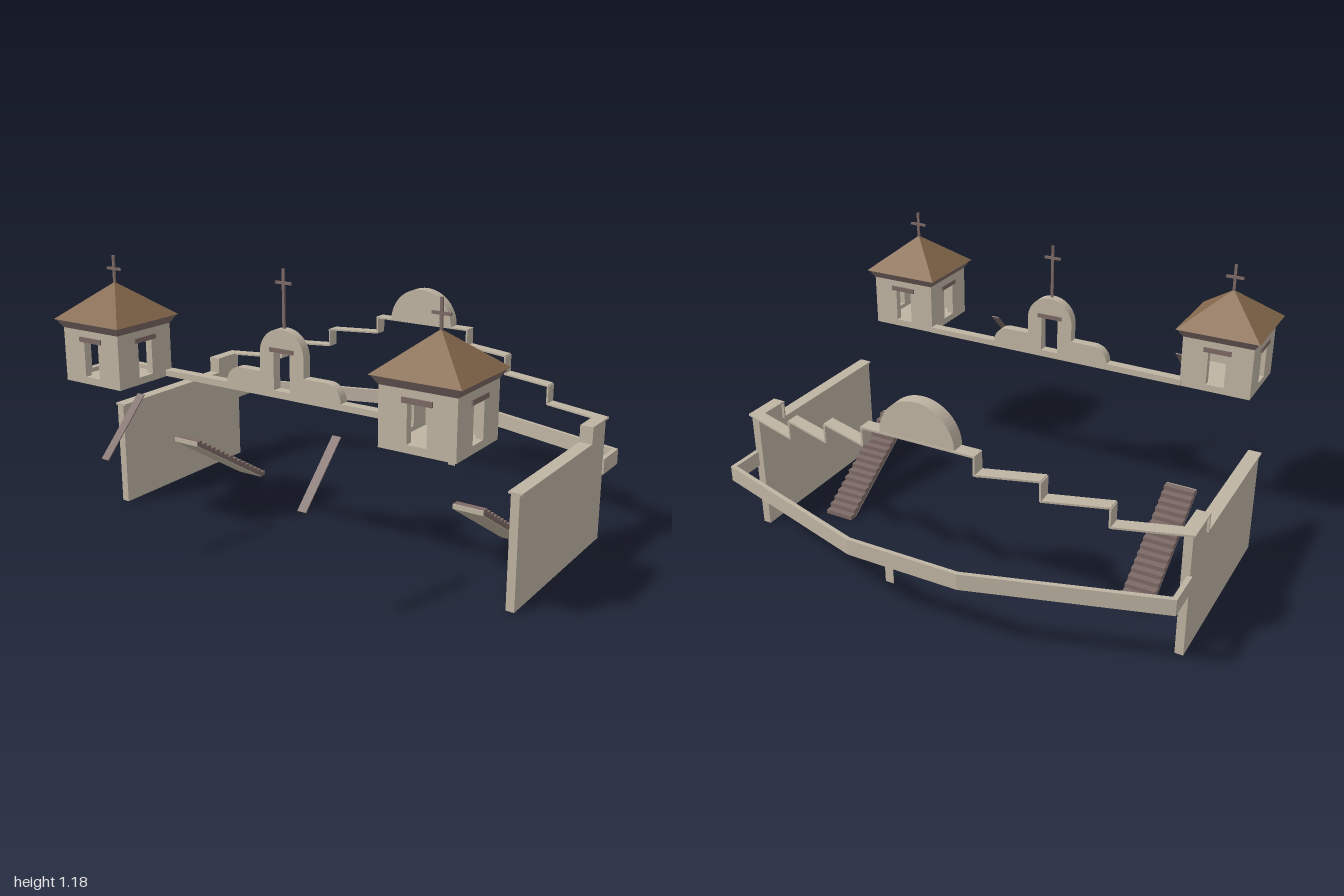
import * as THREE from 'three';

const mat = (name, color) => {
  const m = new THREE.MeshStandardMaterial({ color, side: THREE.DoubleSide });
  m.name = name;
  return m;
};

export function createModel() {
  const adobe = mat('adobe', 0xbfb4a3);
  const wood = mat('wood', 0x7d6a66);
  const tile = mat('roof tile', 0x86694c);
  const root = new THREE.Group();

  const add = (name, geo, material, parent = root) => {
    const mesh = new THREE.Mesh(geo, material);
    mesh.name = name;
    parent.add(mesh);
    return mesh;
  };
  const box = (name, w, h, d, x, y, z, material, parent) =>
    add(name, new THREE.BoxGeometry(w, h, d).translate(x, y, z), material, parent);
  const polygon = (pts) => new THREE.Shape(pts.map(([a, b]) => new THREE.Vector2(a, b)));
  const extrude = (shape, depth) =>
    new THREE.ExtrudeGeometry(shape, { depth, bevelEnabled: false, curveSegments: 16 });
  // outline in (x, z), raised from y0 to y1
  const plan = (pts, y0, y1) =>
    extrude(polygon(pts.map(([x, z]) => [x, -z])), y1 - y0).rotateX(-Math.PI / 2).translate(0, y0, 0);
  // outline in (z, y), spanning x0 to x1
  const profile = (pts, x0, x1) =>
    extrude(polygon(pts), x1 - x0).rotateY(-Math.PI / 2).translate(x1, 0, 0);
  const hole = (x0, x1, y0, y1) => {
    const p = new THREE.Path();
    p.moveTo(x0, y0).lineTo(x0, y1).lineTo(x1, y1).lineTo(x1, y0).closePath();
    return p;
  };
  const cross = (x, y0, z, parent) => {
    box('crossPost', 0.011, 1.185 - y0, 0.008, x, (1.185 + y0) / 2, z, wood, parent);
    box('crossArm', 0.075, 0.011, 0.008, x, 1.13, z, wood, parent);
  };

  // Stepped parapet coping along the bent back edge
  const zBack = (x) => -0.738 + Math.max(0, (Math.abs(x) - 0.24) / 0.76) * 0.235;
  const depth = 0.057, thin = 0.008;
  const coping = (x0, x1, y) => add('backCoping', plan([
    [x0, zBack(x0)], [x1, zBack(x1)], [x1, zBack(x1) + depth], [x0, zBack(x0) + depth],
  ], y - thin, y), adobe);
  coping(-0.24, 0.24, 0.775);

  for (const s of [-1, 1]) {
    [[1, 0.71, 0.54], [0.71, 0.47, 0.62], [0.47, 0.24, 0.7]].forEach(([a, b, y]) => {
      coping(s * a, s * b, y);
      box('copingRiser', thin, 0.08, depth, s * b, y + 0.035, zBack(b) + depth / 2, adobe);
    });

    // Side wall with a raised rear corner and coping
    const wall = profile([[0.32, 0], [0.32, 0.46], [-0.34, 0.46], [-0.34, 0.535], [-0.495, 0.535], [-0.495, 0]], 0.955, 0.99);
    if (s < 0) wall.translate(-1.945, 0, 0);
    add('sideWall', wall, adobe);
    const x = s * 0.972;
    box('sideCoping', 0.056, thin, 0.66, x, 0.464, -0.01, adobe);
    box('sideCopingRiser', 0.056, 0.08, thin, x, 0.5, -0.338, adobe);
    box('cornerCoping', 0.056, thin, 0.165, x, 0.536, -0.418, adobe);

    // Stairs climbing toward the front
    const steps = 16, run = 0.485 / steps, rise = 0.305 / steps;
    const pts = [[-0.31, 0]];
    for (let i = 0; i < steps; i++) {
      pts.push([-0.31 + i * run, (i + 1) * rise], [-0.31 + (i + 1) * run, (i + 1) * rise]);
    }
    pts.push([0.175, 0.286], [-0.28, 0]);
    const sx = s * 0.715;
    add('stairs', profile(pts, sx - 0.066, sx + 0.066), wood);
    add('stairUnderside', profile([[0.175, 0.305], [0.18, 0.305], [0.18, 0.285], [-0.272, 0], [-0.28, 0], [0.175, 0.286]],
      sx - 0.066, sx + 0.066), adobe);

    // Sloping plank in front
    const px = s < 0 ? -0.501 : 0.438;
    add('plank', profile([[0.661, 0.673], [0.664, 0.676], [0.878, 0.463], [0.875, 0.46]], px - 0.018, px + 0.018), wood);

    // Bell tower
    const tower = new THREE.Group();
    tower.name = 'bellTower';
    tower.position.set(s * 0.763, 0, 0.516);
    root.add(tower);
    const h = 0.152;
    for (let i = 0; i < 4; i++) {
      const side = new THREE.Group();
      side.name = 'towerSide';
      side.rotation.y = i * Math.PI / 2;
      tower.add(side);
      const panel = polygon([[-h, 0.672], [h, 0.672], [h, 0.9], [-h, 0.9]]);
      panel.holes.push(hole(-0.039, 0.039, 0.7, 0.85));
      add('towerWall', extrude(panel, 0.03).translate(0, 0, h - 0.03), adobe, side);
      box('windowLintel', 0.118, 0.02, 0.02, 0, 0.857, h - 0.003, wood, side);
    }
    box('towerFloor', 2 * h, 0.012, 2 * h, 0, 0.676, 0, adobe, tower);
    const square = (r0, r1, y0, y1) =>
      new THREE.CylinderGeometry(r1 * Math.SQRT2, r0 * Math.SQRT2, y1 - y0, 4, 1)
        .toNonIndexed().rotateY(Math.PI / 4).translate(0, (y0 + y1) / 2, 0);
    const flat = (g) => { g.computeVertexNormals(); return g; };
    add('eaves', flat(square(0.153, 0.174, 0.895, 0.93)), wood, tower);
    add('towerRoof', flat(square(0.179, 0.0005, 0.93, 1.075)), tile, tower);
    cross(0, 1.06, 0, tower);
  }

  // Half-round gable on the back parapet
  const gable = new THREE.Shape();
  gable.absarc(0, 0.772, 0.16, 0, Math.PI, false);
  gable.closePath();
  add('backGable', extrude(gable, depth).translate(0, 0, -0.735), adobe);

  // Bent band behind the back wall
  const outer = [[0.998, -0.49], [0.998, -0.65], [0.24, -0.877], [-0.24, -0.877], [-0.998, -0.65], [-0.998, -0.49]];
  const inner = [[-0.978, -0.49], [-0.978, -0.636], [-0.237, -0.859], [0.237, -0.859], [0.978, -0.636], [0.978, -0.49]];
  add('rearBand', plan([...outer, ...inner], 0.29, 0.358), adobe);

  // Front parapet with rounded shoulders and a belfry arch
  const front = new THREE.Shape();
  front.moveTo(-0.615, 0.672).lineTo(0.615, 0.672).lineTo(0.615, 0.698).lineTo(0.277, 0.698);
  front.absarc(0.207, 0.7, 0.07, 0, Math.PI / 2, false);
  front.lineTo(0.106, 0.77);
  front.absarc(0, 0.846, 0.106, 0, Math.PI, false);
  front.lineTo(-0.106, 0.77);
  front.absarc(-0.207, 0.7, 0.07, Math.PI / 2, Math.PI, false);
  front.lineTo(-0.615, 0.698);
  front.holes.push(hole(-0.039, 0.039, 0.702, 0.855));
  add('frontParapet', extrude(front, 0.042).translate(0, 0, 0.358), adobe);
  box('belfryLintel', 0.115, 0.018, 0.05, 0, 0.866, 0.379, wood);
  cross(0, 0.945, 0.38, root);

  // Small loose plate at the back
  box('backPlate', 0.037, 0.075, 0.003, 0.162, 0.128, -0.722, adobe).name = 'backPlate';

  return root;
}
